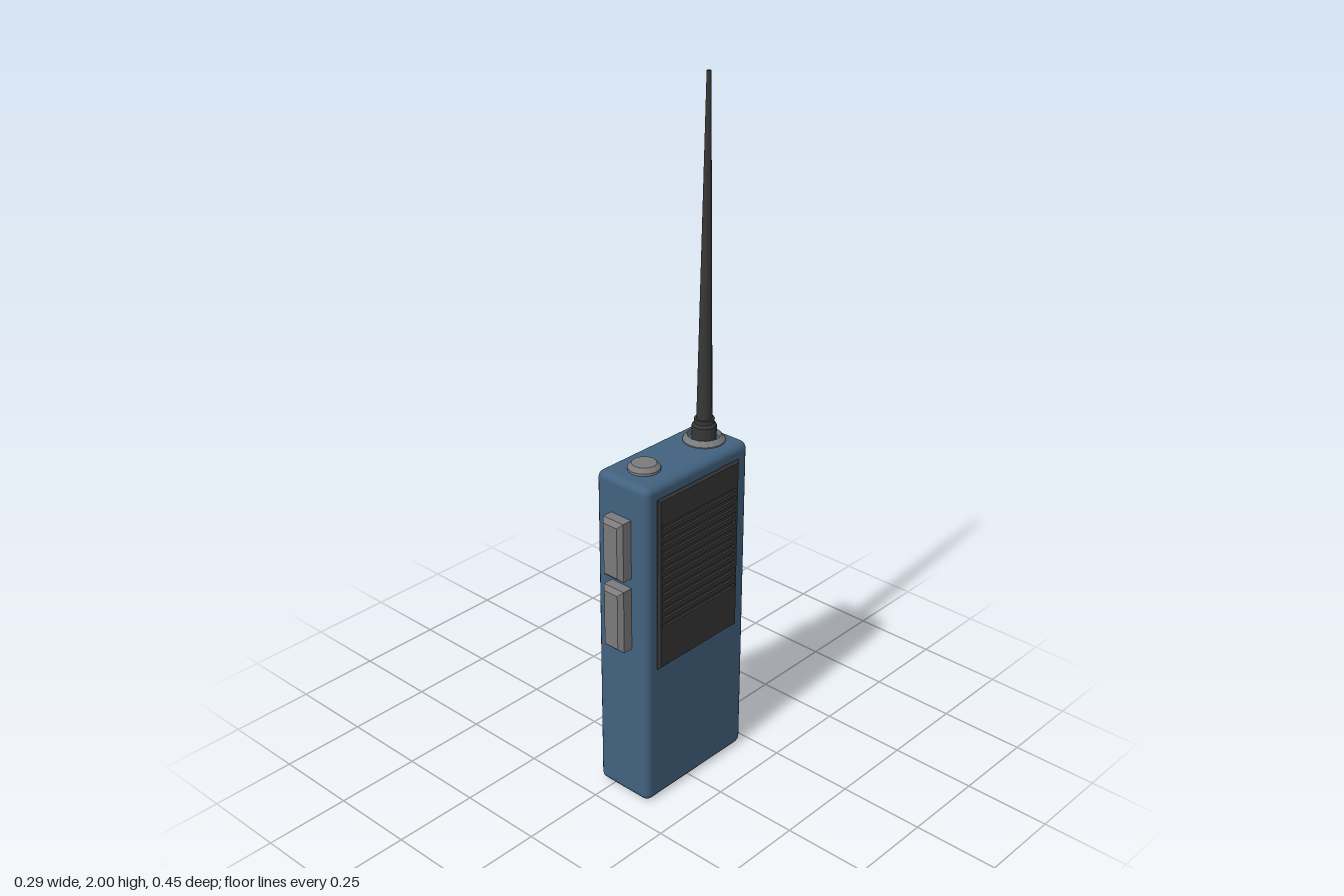
import * as THREE from 'three';
import { RoundedBoxGeometry } from 'three/addons/geometries/RoundedBoxGeometry.js';

export function createModel() {
  const model = new THREE.Group();
  const material = (name, color, flatShading = false) => {
    const m = new THREE.MeshStandardMaterial({ color, flatShading });
    m.name = name;
    return m;
  };
  const blue = material('blue casing', 0x42627f);
  const dark = material('dark plastic', 0x373737);
  const grey = material('grey plastic', 0x7b7a7c);

  const add = (name, geometry, mat, x = 0, y = 0, z = 0) => {
    const mesh = new THREE.Mesh(geometry, mat);
    mesh.name = name;
    mesh.position.set(x, y, z);
    model.add(mesh);
    return mesh;
  };
  const rectangle = (Type, x0, y0, x1, y1) => {
    const s = new Type();
    s.moveTo(x0, y0);
    s.lineTo(x1, y0);
    s.lineTo(x1, y1);
    s.lineTo(x0, y1);
    s.closePath();
    return s;
  };
  // Plate facing +z, its front face at z = 0, with chamfered edges
  const chamferedPlate = (w, h, depth, c, hole) => {
    const s = rectangle(THREE.Shape, -w / 2 + c, -h / 2 + c, w / 2 - c, h / 2 - c);
    if (hole) s.holes.push(rectangle(THREE.Path, ...hole));
    return new THREE.ExtrudeGeometry(s, {
      depth: depth - c, bevelEnabled: true, bevelSize: c, bevelThickness: c, bevelSegments: 1,
    }).translate(0, 0, -depth);
  };
  const lathe = (points, sides = 16) => new THREE.LatheGeometry(
    points.map(([r, y]) => new THREE.Vector2(r, y)), sides).toNonIndexed();
  const faceted = (g) => { g.computeVertexNormals(); return g; };

  // Casing
  add('casing', new RoundedBoxGeometry(0.185, 0.99, 0.405, 2, 0.022), blue, 0.0425, 0.495, -0.0225);

  // Speaker panel on the +x face: frame, recessed back and slats
  const frame = chamferedPlate(0.32, 0.52, 0.016, 0.006, [-0.146, -0.144, 0.146, 0.194]);
  add('speakerFrame', frame.rotateY(Math.PI / 2), dark, 0.143, 0.69, -0.02);
  add('speakerBack', new THREE.BoxGeometry(0.008, 0.36, 0.3), dark, 0.1325, 0.715, -0.02);
  const slats = 14;
  for (let i = 0; i < slats; i++) {
    add('speakerSlat', new THREE.BoxGeometry(0.012, 0.013, 0.302), dark,
      0.137, 0.54 + (i + 0.5) * 0.35 / slats, -0.02);
  }

  // Two push buttons on the +z edge
  for (const [y0, y1] of [[0.49, 0.68], [0.71, 0.885]]) {
    add('sideButton', chamferedPlate(0.072, y1 - y0, 0.055, 0.012), grey, 0.043, (y0 + y1) / 2, 0.222);
  }

  // Knob and antenna collar on top
  add('knob', faceted(lathe([[0.045, 0], [0.045, 0.012], [0.034, 0.024], [0, 0.024]])),
    grey, 0.042, 0.985, 0.09);
  add('antennaCollar', faceted(lathe([[0.059, 0], [0.059, 0.008], [0.047, 0.022], [0.046, 0]])),
    grey, 0.042, 0.985, -0.147);

  // Antenna socket and tapered mast
  add('antennaSocket', faceted(lathe(
    [[0.034, 0], [0.034, 0.05], [0.028, 0.058], [0.028, 0.07], [0, 0.07]])),
    dark, 0.042, 0.985, -0.147);
  add('antennaMast', new THREE.CylinderGeometry(0.006, 0.022, 0.96, 16), dark, 0.042, 1.52, -0.147);

  // Bent belt clip on the -x face
  const spine = [[-0.061, 0.9], [-0.061, 0.75], [-0.138, 0.42], [-0.12, 0.305], [-0.08, 0.242]]
    .map(([x, y]) => new THREE.Vector2(x, y));
  const offset = (d) => spine.map((p, i) => {
    const a = spine[Math.max(i - 1, 0)], b = spine[Math.min(i + 1, spine.length - 1)];
    const t = b.clone().sub(a).normalize();
    return new THREE.Vector2(p.x - t.y * d, p.y + t.x * d);
  });
  const clipShape = new THREE.Shape([...offset(0.007), ...offset(-0.007).reverse()]);
  add('beltClip', new THREE.ExtrudeGeometry(clipShape, { depth: 0.183, bevelEnabled: false }),
    dark, 0, 0, -0.113);
  add('clipMount', new THREE.BoxGeometry(0.016, 0.15, 0.183), dark, -0.053, 0.825, -0.0215);

  return model;
}
